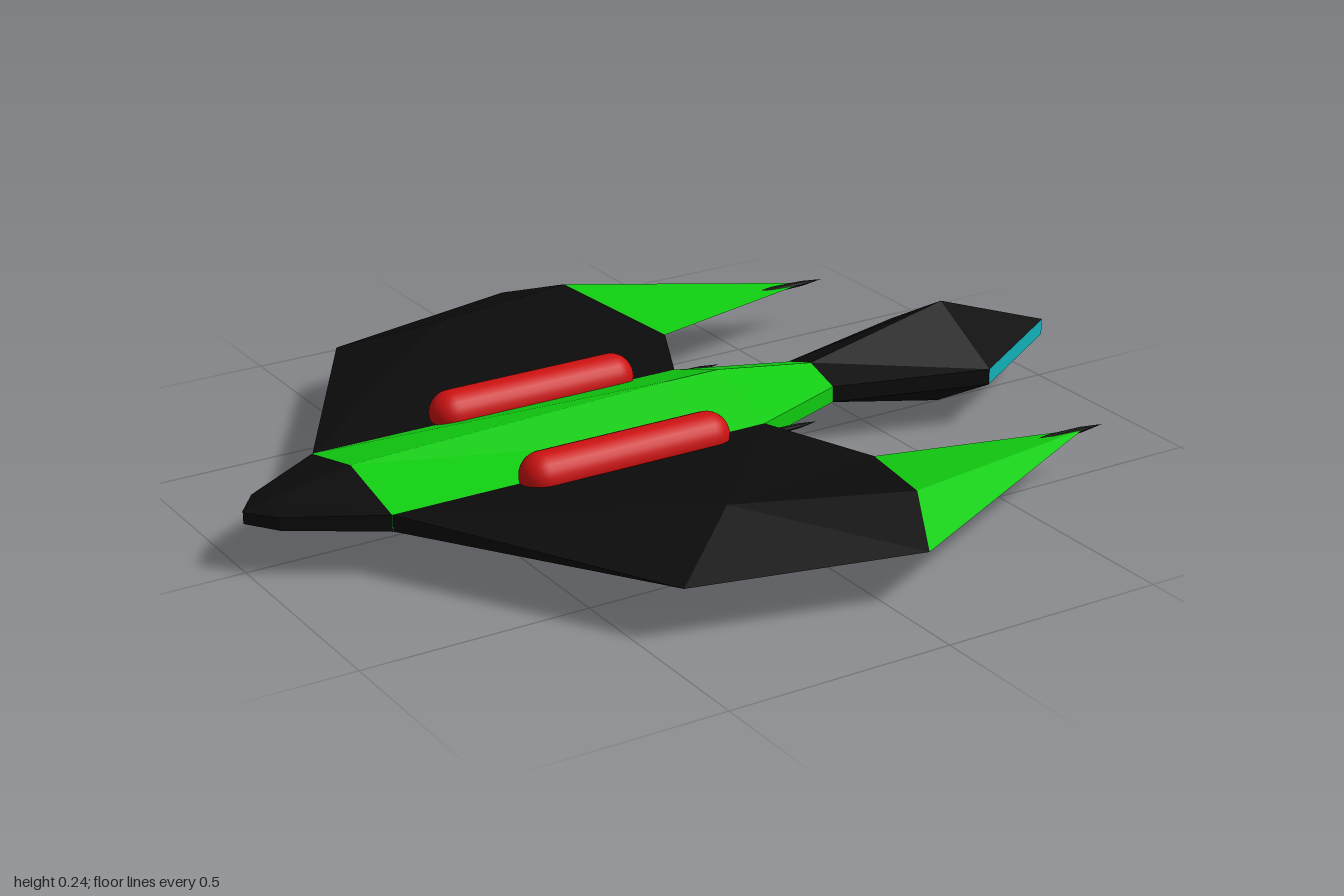
import * as THREE from 'three';

const MID = 0.122; // height of the horizontal symmetry plane
const paint = (color, flatShading = true) =>
  new THREE.MeshStandardMaterial({ color, flatShading });

// Mesh from a list of triangles, each made of three [x, y, z] corners
function facets(name, tris, material) {
  const geo = new THREE.BufferGeometry();
  geo.setAttribute('position', new THREE.Float32BufferAttribute(tris.flat(2), 3));
  geo.computeVertexNormals();
  const mesh = new THREE.Mesh(geo, material);
  mesh.name = name;
  return mesh;
}

// Skin between six-sided sections [x, halfWidth, halfHeight, edgeHalfHeight];
// sides picks which of the six strips to build
function loft(sections, sides = [0, 1, 2, 3, 4, 5]) {
  const rings = sections.map(([x, w, t, h]) => [
    [x, t, 0], [x, h, w], [x, -h, w], [x, -t, 0], [x, -h, -w], [x, h, -w],
  ]);
  const tris = [];
  for (let i = 0; i < rings.length - 1; i++) {
    for (const j of sides) {
      const k = (j + 1) % 6;
      const a = rings[i][j], b = rings[i][k], c = rings[i + 1][k], d = rings[i + 1][j];
      tris.push([a, b, c], [a, c, d]);
    }
  }
  return tris;
}

// Mirror triangles along one axis, keeping them facing outward
const mirror = (tris, axis) => tris.map(([a, b, c]) =>
  [a, c, b].map(p => p.map((v, i) => (i === axis ? -v : v))));

export function createModel() {
  const model = new THREE.Group();
  const ship = new THREE.Group();
  ship.name = 'ship';
  ship.position.y = MID;
  model.add(ship);

  const black = paint(0x0b0b0b);
  const green = paint(0x11cc11);
  const teal = paint(0x12b0b8);
  const red = paint(0xcc1111, false);

  // Fuselage, tail and nose share their meeting sections
  const rear = [-0.76, 0.18, 0.059, 0.018];
  const neck = [0.36, 0.087, 0.045, 0.018];
  const brow = [0.71, 0.185, 0.12, 0.018];
  const tip = [1, 0.002, 0.018, 0.018];
  ship.add(
    facets('fuselage', loft([rear, [0.0, 0.18, 0.08, 0.018], [0.12, 0.18, 0.08, 0.018], neck]), green),
    facets('tail', loft([[-1, 0.002, 0.012, 0.012], [-0.95, 0.066, 0.027, 0.014], rear]), black),
    facets('noseNeck', loft([neck, brow]), black),
    facets('noseTop', loft([brow, tip], [5, 0]), black),
    facets('noseWindow', loft([brow, tip], [1, 2, 3, 4]), teal),
  );

  // Upper half of the left wing, mirrored below and across
  const rootBack = [-0.76, 0.018, 0.178], rootFront = [0.12, 0.018, 0.178];
  const outerBack = [-0.43, 0, 0.735], outerFront = [0.06, 0, 0.848];
  const inner = [0.24, 0, 0.41], crest = [0.14, 0.053, 0.695];
  const peak = [-0.24, 0.073, 0.59], point = [0.7, 0, 0.526];
  const rim = [rootBack, outerBack, outerFront, crest, inner, rootFront];
  const wing = rim.map((p, i) => [peak, p, rim[(i + 1) % rim.length]]);
  wing.push([rootFront, inner, [0.12, 0, 0.178]], [rootBack, [-0.76, 0, 0.178], outerBack]);
  const wingTip = [[outerFront, point, crest], [crest, point, inner]];

  for (const side of [1, -1]) {
    const label = side > 0 ? 'left' : 'right';
    const both = tris => {
      const full = [...tris, ...mirror(tris, 1)];
      return side > 0 ? full : mirror(full, 2);
    };
    ship.add(facets(label + 'Wing', both(wing), black));
    ship.add(facets(label + 'WingTip', both(wingTip), green));

    // Engine pods above and below the wing root
    for (const up of [1, -1]) {
      const pod = new THREE.Mesh(new THREE.CapsuleGeometry(0.05, 0.39, 10, 24), red);
      pod.name = label + (up > 0 ? 'Upper' : 'Lower') + 'Pod';
      pod.rotation.z = Math.PI / 2;
      pod.position.set(-0.23, up * 0.032, side * 0.193);
      ship.add(pod);
    }

    // Thin guns, thickest in the middle and pointed at both ends
    for (const [name, x0, x1, z, r] of [
      ['WingGun', 0.52, 0.75, 0.526, 0.008],
      ['RootGun', 0.06, 0.245, 0.193, 0.007],
    ]) {
      const len = x1 - x0;
      const profile = [[0, 0], [r, 0.4], [r * 0.8, 0.75], [0, 1]]
        .map(([px, t]) => new THREE.Vector2(px, (t - 0.5) * len));
      const gun = new THREE.Mesh(new THREE.LatheGeometry(profile, 8), black);
      gun.name = label + name;
      gun.rotation.z = -Math.PI / 2;
      gun.position.set((x0 + x1) / 2, 0, side * z);
      ship.add(gun);
    }
  }
  return model;
}
